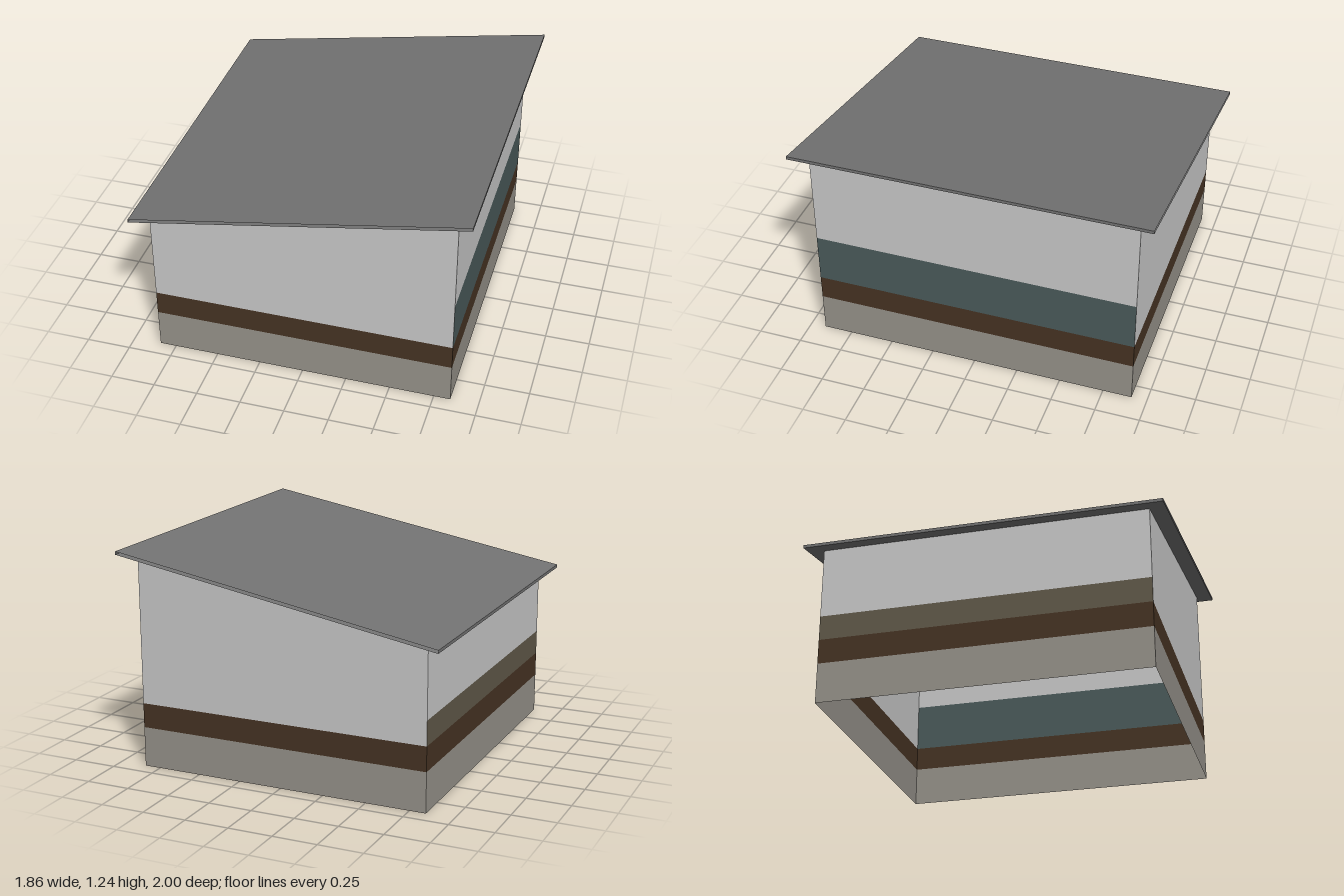
import * as THREE from 'three';

const HX = 0.843, HZ = 0.913;   // half size of the walls
const RX = 0.93, RZ = 1;        // half size of the roof
const THICK = 0.018;
const roofY = (x) => 1.077 + 0.1746 * x; // sloping roof plane

const mat = (name, color) =>
  new THREE.MeshStandardMaterial({ name, color, side: THREE.DoubleSide });

// Flat four-cornered panel, corners counter-clockwise seen from outside
function panel(name, material, a, b, c, d) {
  const g = new THREE.BufferGeometry();
  g.setAttribute('position', new THREE.Float32BufferAttribute([a, b, c, d].flat(), 3));
  g.setIndex([0, 1, 2, 0, 2, 3]);
  g.computeVertexNormals();
  const m = new THREE.Mesh(g, material);
  m.name = name;
  return m;
}

export function createModel() {
  const model = new THREE.Group();
  model.name = 'shed';
  const plaster = mat('plaster', 0xc9c9c9);
  const stone = mat('stone', 0x96928a);
  const timber = mat('timber', 0x463323);
  const glass = mat('tealGlass', 0x4a5a5a);
  const olive = mat('oliveBoard', 0x615949);
  const roofing = mat('roofing', 0x737373);

  // Walls as horizontal bands: [name, material, bottom, top]; null top meets the roof
  const base = [['base', stone, 0, 0.228], ['timberBand', timber, 0.228, 0.368]];
  const sides = {
    front: [...base, ['wall', plaster, 0.368, null]],
    left: [...base, ['glassBand', glass, 0.368, 0.65], ['wall', plaster, 0.65, null]],
    back: [...base, ['wall', plaster, 0.368, null]],
    right: [...base, ['oliveBand', olive, 0.368, 0.508], ['wall', plaster, 0.508, null]],
  };
  // Start and end corner (x, z) of each wall
  const corners = {
    front: [[-HX, HZ], [HX, HZ]],
    left: [[HX, HZ], [HX, -HZ]],
    back: [[HX, -HZ], [-HX, -HZ]],
    right: [[-HX, -HZ], [-HX, HZ]],
  };
  for (const [side, bands] of Object.entries(sides)) {
    const [[x0, z0], [x1, z1]] = corners[side];
    const group = new THREE.Group();
    group.name = side + 'Side';
    for (const [name, material, lo, hi] of bands) {
      const top = (x) => hi ?? roofY(x) - 0.001;
      group.add(panel(name, material,
        [x0, lo, z0], [x1, lo, z1], [x1, top(x1), z1], [x0, top(x0), z0]));
    }
    model.add(group);
  }

  // Roof: two sloping sheets closed along the high and low eaves
  const roof = new THREE.Group();
  roof.name = 'roof';
  const p = (sx, sz, drop) => [sx * RX, roofY(sx * RX) - drop, sz * RZ];
  roof.add(
    panel('roofTop', roofing, p(-1, 1, 0), p(1, 1, 0), p(1, -1, 0), p(-1, -1, 0)),
    panel('roofUnderside', roofing,
      p(-1, -1, THICK), p(1, -1, THICK), p(1, 1, THICK), p(-1, 1, THICK)),
  );
  for (const s of [-1, 1]) {
    roof.add(panel(s > 0 ? 'highEave' : 'lowEave', roofing,
      p(s, s, THICK), p(s, -s, THICK), p(s, -s, 0), p(s, s, 0)));
  }
  model.add(roof);
  return model;
}
